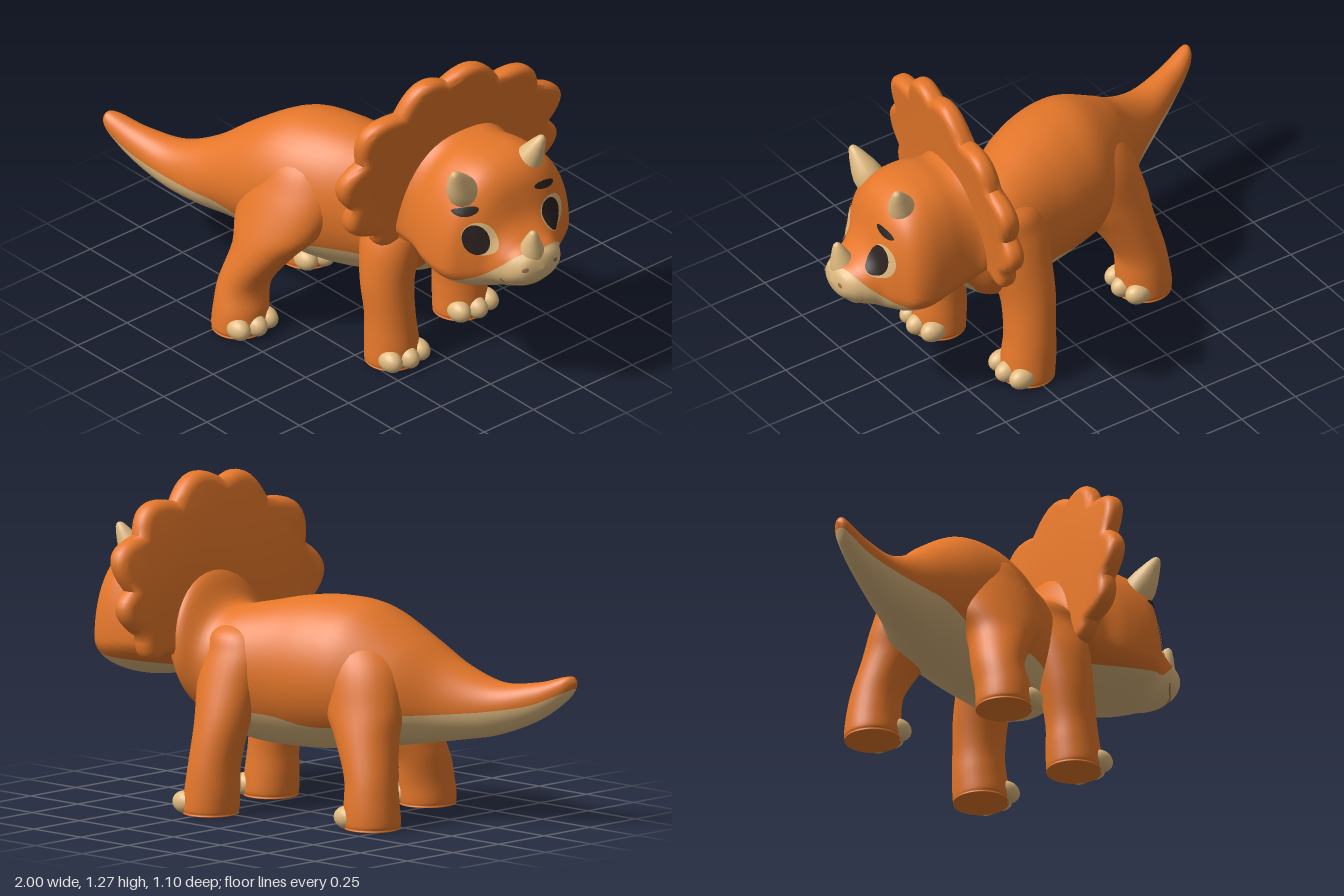
import * as THREE from 'three';
import { toCreasedNormals } from 'three/addons/utils/BufferGeometryUtils.js';

const colour = (name, color) => Object.assign(new THREE.MeshStandardMaterial({ color }), { name });

// Smooth interpolation between rows of section numbers
function sample(rows, t) {
  const last = rows.length - 1;
  const i = Math.min(Math.floor(t), last - 1), f = t - i;
  const [a, b, c, d] = [-1, 0, 1, 2].map(k => rows[Math.min(last, Math.max(0, i + k))]);
  return b.map((p, k) => p + 0.5 * f * (c[k] - a[k]
    + f * (2 * a[k] - 5 * p + 4 * c[k] - d[k] + f * (3 * (p - c[k]) + d[k] - a[k]))));
}

// Skin over rings; the first `under` cells of each ring take the second material
function loft(rows, ring, sides, under = 0, steps = 6) {
  const pos = [], upper = [], lower = [];
  const n = (rows.length - 1) * steps;
  for (let i = 0; i <= n; i++) {
    const s = sample(rows, i / steps);
    for (let j = 0; j < sides; j++) pos.push(...ring(s, j));
    if (i === n) break;
    for (let j = 0; j < sides; j++) {
      const a = i * sides + j, c = i * sides + (j + 1) % sides;
      (j < under ? lower : upper).push(a, a + sides, c, a + sides, c + sides, c);
    }
  }
  const g = new THREE.BufferGeometry();
  g.setAttribute('position', new THREE.Float32BufferAttribute(pos, 3));
  g.setIndex([...upper, ...lower]);
  g.addGroup(0, upper.length, 0);
  g.addGroup(upper.length, lower.length, 1);
  g.computeVertexNormals();
  return g;
}

// Upright ring [x, z, top, bottom, halfWidth, widestY, paleEdgeY]; power < 1 fills out the upper half
const SIDES = 56, UNDER = 20;
const uprightRing = (yaw, roll, power) => ([x, z, top, bot, w, m, e], j) => {
  const k = e < m ? (m - e) / Math.max(1e-4, m - bot) : (m - e) / Math.max(1e-4, top - m);
  const edge = Math.acos(THREE.MathUtils.clamp(k, -1, 1));
  const a = j <= UNDER ? -edge + 2 * edge * j / UNDER
    : edge + (2 * Math.PI - 2 * edge) * (j - UNDER) / (SIDES - UNDER);
  const c = Math.cos(a), s = Math.sin(a);
  const dz = Math.max(0, w) * Math.sign(s) * Math.abs(s) ** (c < 0 ? power : 1);
  return [x - yaw * dz, m - c * (c > 0 ? m - bot : top - m) - roll * dz, z + dz];
};

// Level ring [y, x, z, radiusX, radiusZ]
const levelRing = ([y, x, z, rx, rz], j) => {
  const a = j / 32 * Math.PI * 2;
  return [x + Math.max(0, rx) * Math.cos(a), Math.max(0, y), z + Math.max(0, rz) * Math.sin(a)];
};

export function createModel() {
  const model = new THREE.Group();
  const skin = colour('orange skin', 0xe5772a);
  const pale = colour('pale belly and horn', 0xe0ba80);
  const dark = colour('dark eye', 0x2b2120);
  const crease = colour('mouth crease', 0x9a7648);
  const add = (name, geo, mat, parent = model) => {
    const mesh = new THREE.Mesh(geo, mat);
    mesh.name = name;
    parent.add(mesh);
    return mesh;
  };

  // Tail, body and neck in one skin
  add('bodyAndTail', loft([
    [-1.0, 0.425, 0.57, 0.57, 0, 0.57, 0.55],
    [-0.985, 0.42, 0.592, 0.53, 0.028, 0.56, 0.54],
    [-0.95, 0.405, 0.588, 0.485, 0.045, 0.54, 0.52],
    [-0.85, 0.37, 0.56, 0.41, 0.065, 0.49, 0.475],
    [-0.7, 0.315, 0.55, 0.345, 0.1, 0.45, 0.445],
    [-0.55, 0.25, 0.615, 0.315, 0.145, 0.45, 0.43],
    [-0.42, 0.175, 0.715, 0.295, 0.205, 0.49, 0.42],
    [-0.25, 0.115, 0.82, 0.27, 0.255, 0.53, 0.37],
    [-0.1, 0.08, 0.842, 0.25, 0.265, 0.54, 0.36],
    [0.05, 0.035, 0.83, 0.245, 0.25, 0.54, 0.39],
    [0.2, -0.03, 0.797, 0.26, 0.23, 0.53, 0.39],
    [0.32, -0.065, 0.785, 0.3, 0.22, 0.56, 0.345],
    [0.4, -0.075, 0.9, 0.355, 0.255, 0.63, 0.384],
    [0.48, -0.08, 0.93, 0.43, 0.2, 0.66, 0.48],
    [0.58, -0.08, 0.9, 0.5, 0.14, 0.7, 0.55],
  ], uprightRing(0, 0, 1), SIDES, UNDER), [skin, pale]);

  // Legs with three toes each: [y, x, z, radiusX, radiusZ] from the sole up
  const legs = {
    rearLeft: [[0.03, -0.202, 0.437, 0.108, 0.113], [0.1, -0.203, 0.43, 0.104, 0.111],
      [0.2, -0.208, 0.405, 0.098, 0.11], [0.34, -0.155, 0.352, 0.135, 0.122],
      [0.45, -0.135, 0.295, 0.2, 0.138], [0.6, -0.125, 0.205, 0.21, 0.158],
      [0.73, -0.12, 0.12, 0.15, 0.155], [0.8, -0.12, 0.08, 0, 0]],
    rearRight: [[0.03, -0.422, -0.095, 0.11, 0.11], [0.1, -0.418, -0.095, 0.106, 0.107],
      [0.2, -0.405, -0.085, 0.103, 0.105], [0.34, -0.35, -0.05, 0.13, 0.12],
      [0.45, -0.3, -0.01, 0.17, 0.14], [0.6, -0.25, 0.03, 0.18, 0.15],
      [0.7, -0.22, 0.07, 0.13, 0.13], [0.77, -0.22, 0.08, 0, 0]],
    frontLeft: [[0.03, 0.357, 0.155, 0.107, 0.109], [0.1, 0.352, 0.155, 0.106, 0.104],
      [0.2, 0.343, 0.155, 0.1, 0.098], [0.35, 0.322, 0.15, 0.108, 0.105],
      [0.5, 0.31, 0.112, 0.13, 0.12], [0.62, 0.3, 0.055, 0.15, 0.12],
      [0.7, 0.28, 0.02, 0.12, 0.12], [0.76, 0.28, 0, 0, 0]],
    frontRight: [[0.03, 0.25, -0.285, 0.107, 0.112], [0.1, 0.243, -0.285, 0.105, 0.108],
      [0.2, 0.235, -0.28, 0.1, 0.103], [0.35, 0.225, -0.25, 0.11, 0.105],
      [0.5, 0.235, -0.195, 0.135, 0.118], [0.62, 0.24, -0.15, 0.15, 0.12],
      [0.7, 0.25, -0.11, 0.12, 0.12], [0.76, 0.25, -0.1, 0, 0]],
  };
  for (const [name, rows] of Object.entries(legs)) {
    const [, x, z, rx, rz] = rows[0];
    const leg = new THREE.Group();
    leg.name = name + 'Leg';
    model.add(leg);
    const sole = [[0, x, z, 0, 0], [0, x, z, rx * 0.9, rz * 0.9], [0.01, x, z, rx * 0.97, rz * 0.97]];
    add(name + 'Limb', loft([...sole, ...rows], levelRing, 32), skin, leg);
    for (const k of [-1, 0, 1]) {
      const toe = add(name + 'Toe', new THREE.SphereGeometry(1, 24, 16), pale, leg);
      toe.scale.set(0.056, 0.044, 0.04);
      toe.position.set(x + 0.088 - 0.018 * k * k, 0.044, z + 0.07 * k);
    }
  }

  // Head with pale jaw and beak, slightly turned and tilted, flaring into the frill
  const head = add('head', loft([
    [0.42, -0.085, 1.05, 0.55, 0.29, 0.66, 0.53],
    [0.47, -0.085, 1.0, 0.51, 0.265, 0.63, 0.53],
    [0.53, -0.085, 0.98, 0.49, 0.262, 0.62, 0.53],
    [0.61, -0.08, 0.99, 0.475, 0.28, 0.61, 0.53],
    [0.7, -0.08, 0.987, 0.46, 0.288, 0.6, 0.535],
    [0.77, -0.075, 0.96, 0.463, 0.272, 0.6, 0.545],
    [0.82, -0.07, 0.9, 0.473, 0.215, 0.6, 0.56],
    [0.86, -0.065, 0.775, 0.486, 0.163, 0.6, 0.585],
    [0.91, -0.06, 0.71, 0.502, 0.133, 0.6, 0.63],
    [0.955, -0.055, 0.683, 0.53, 0.107, 0.6, 0.675],
    [0.985, -0.05, 0.66, 0.56, 0.07, 0.605, 0.66],
    [1.0, -0.05, 0.61, 0.61, 0, 0.61, 0.61],
  ], uprightRing(0.14, 0.07, 0.75), SIDES, UNDER), [skin, pale]);

  // Scalloped frill: valleys and peaks as [z, y]
  const valleys = [[0.1, 0.58], [0.27, 0.6], [0.375, 0.75], [0.355, 0.955], [0.2, 1.14], [0, 1.235],
    [-0.24, 1.175], [-0.435, 1.065], [-0.51, 0.86], [-0.47, 0.68], [-0.36, 0.6]];
  const peaks = [[0.215, 0.535], [0.375, 0.65], [0.43, 0.86], [0.345, 1.1], [0.115, 1.25],
    [-0.13, 1.27], [-0.375, 1.17], [-0.55, 0.99], [-0.553, 0.775], [-0.445, 0.595]];
  const outline = new THREE.Shape();
  outline.moveTo(-valleys[0][0], valleys[0][1]);
  peaks.forEach(([z, y], i) => {
    const [a, b] = [valleys[i], valleys[i + 1]];
    outline.quadraticCurveTo(-(2 * z - (a[0] + b[0]) / 2), 2 * y - (a[1] + b[1]) / 2, -b[0], b[1]);
  });
  const frill = new THREE.ExtrudeGeometry(outline, {
    depth: 0.016, bevelThickness: 0.034, bevelSize: 0.035, bevelOffset: -0.035,
    bevelSegments: 5, curveSegments: 10,
  }).rotateY(Math.PI / 2);
  const fp = frill.attributes.position;
  for (let i = 0; i < fp.count; i++) {
    const rise = fp.getY(i) - 0.85;
    fp.setX(i, fp.getX(i) + 0.414 + Math.max(0.17 * rise, 0.08 * rise) - 0.125 * (fp.getZ(i) + 0.06));
  }
  add('frill', toCreasedNormals(frill, 1), skin);

  // Horns
  const horn = (name, base, tip, r) => {
    const from = new THREE.Vector3(...base), dir = new THREE.Vector3(...tip).sub(from);
    const h = dir.length();
    const profile = [[1, -0.25], [1, 0], [0.83, 0.3], [0.5, 0.7], [0.28, 0.92], [0.13, 0.985], [0, 1]]
      .map(([a, b]) => new THREE.Vector2(a * r, b * h));
    const mesh = add(name, new THREE.LatheGeometry(profile, 28), pale);
    mesh.position.copy(from);
    mesh.quaternion.setFromUnitVectors(new THREE.Vector3(0, 1, 0), dir.normalize());
  };
  horn('leftBrowHorn', [0.715, 0.9, 0.115], [0.745, 1.008, 0.18], 0.06);
  horn('rightBrowHorn', [0.755, 0.925, -0.18], [0.81, 1.05, -0.215], 0.06);
  horn('noseHorn', [0.935, 0.65, -0.045], [0.962, 0.765, -0.032], 0.055);

  // Painted face details, laid on the front of the head
  const ray = new THREE.Raycaster();
  const onFace = (y, z, lift) => {
    ray.set(new THREE.Vector3(2, y, z), new THREE.Vector3(-1, 0, 0));
    const hit = ray.intersectObject(head)[0];
    return hit ? hit.point.addScaledVector(hit.face.normal, lift) : new THREE.Vector3(0.7, y, z);
  };
  const spot = (name, mat, z, y, rz, ry, lift, tilt = 0) => {
    const g = new THREE.RingGeometry(0.001, 1, 32, 8).scale(rz, ry, 1).rotateZ(tilt);
    const p = g.attributes.position;
    for (let i = 0; i < p.count; i++) {
      const q = onFace(y + p.getY(i), z - p.getX(i), lift);
      p.setXYZ(i, q.x, q.y, q.z);
    }
    g.computeVertexNormals();
    add(name, g, mat);
  };
  spot('leftEyeWhite', pale, 0.105, 0.717, 0.055, 0.066, 0.004);
  spot('leftIris', dark, 0.117, 0.715, 0.041, 0.06, 0.008);
  spot('rightEyeWhite', pale, -0.205, 0.745, 0.064, 0.067, 0.004);
  spot('rightIris', dark, -0.192, 0.745, 0.048, 0.06, 0.008);
  spot('leftBrow', dark, 0.125, 0.825, 0.036, 0.016, 0.006, 0.4);
  spot('rightBrow', dark, -0.188, 0.86, 0.05, 0.015, 0.006, -0.15);
  spot('leftNostril', crease, 0.018, 0.617, 0.012, 0.008, 0.004, 0.4);
  spot('rightNostril', crease, -0.11, 0.625, 0.012, 0.008, 0.004, -0.4);

  // Smile line
  const smile = new THREE.SplineCurve([[0.07, 0.562], [0.04, 0.537], [-0.05, 0.525], [-0.13, 0.533], [-0.175, 0.575]]
    .map(p => new THREE.Vector2(...p))).getPoints(24).map(p => onFace(p.y, p.x, 0));
  add('smileLine', new THREE.TubeGeometry(new THREE.CatmullRomCurve3(smile), 48, 0.004, 6), crease);

  return model;
}
